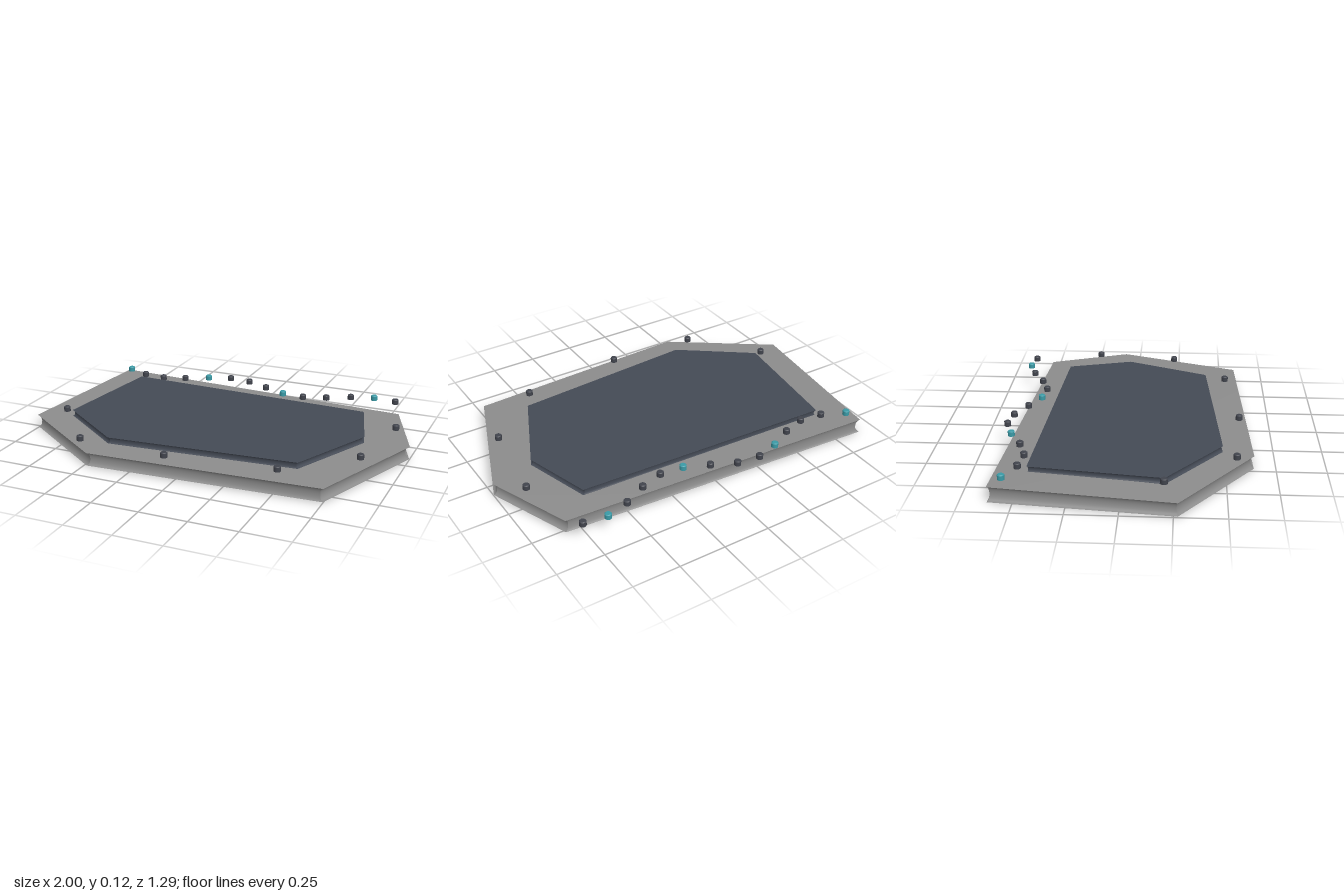
import * as THREE from 'three';

const paint = (name, color) => new THREE.MeshStandardMaterial({ name, color });

// Convex slab whose rim is hollowed inward by a smooth cove
function covedSlab(outline, y0, y1, cove, flare = 0) {
  const pos = [], idx = [], rows = 10, n = outline.length;
  const point = (i, t) => {
    const [x, z] = outline[i % n];
    const s = 1 - (cove / Math.hypot(x, z)) * Math.sqrt(Math.max(0, 1 - (2 * t - 1) ** 2));
    // the back left corner is slightly thicker than the rest
    const spread = i % n === 0 ? flare * (2 * t - 1) : 0;
    return [x * s, y0 + (y1 - y0) * t + spread, z * s];
  };
  // Rim: each side has its own vertices, so corners stay crisp
  for (let i = 0; i < n; i++) {
    const base = pos.length / 3;
    for (let r = 0; r <= rows; r++) {
      const t = (1 - Math.cos((Math.PI * r) / rows)) / 2;
      pos.push(...point(i, t), ...point(i + 1, t));
      if (r === rows) continue;
      const a = base + r * 2, b = a + 1, c = a + 2, d = a + 3;
      idx.push(a, c, d, a, d, b);
    }
  }
  // Flat top and bottom caps
  for (const t of [0, 1]) {
    const base = pos.length / 3;
    for (let i = 0; i < n; i++) pos.push(...point(i, t));
    for (let i = 1; i < n - 1; i++) {
      if (t) idx.push(base, base + i + 1, base + i);
      else idx.push(base, base + i, base + i + 1);
    }
  }
  const g = new THREE.BufferGeometry();
  g.setAttribute('position', new THREE.Float32BufferAttribute(pos, 3));
  g.setIndex(idx);
  g.computeVertexNormals();
  return g;
}

export function createModel() {
  const model = new THREE.Group();
  const stone = paint('stone grey', 0x8c8c8c);
  const slate = paint('slate blue', 0x444a55);
  const dark = paint('dark stud', 0x41444d);
  const teal = paint('teal stud', 0x3a9aa6);

  const add = (name, geometry, material) => {
    const mesh = new THREE.Mesh(geometry, material);
    mesh.name = name;
    model.add(mesh);
    return mesh;
  };

  // Base slab and raised panel
  const baseOutline = [[-0.9, -0.62], [0.83, -0.52], [1, -0.08], [0.75, 0.58], [-0.48, 0.64], [-1, 0.27]];
  const panelOutline = [[-0.73, -0.455], [0.665, -0.395], [0.77, -0.04], [0.565, 0.41], [-0.44, 0.485], [-0.815, 0.205]];
  add('baseSlab', covedSlab(baseOutline, 0.007, 0.075, 0.022, 0.005), stone);
  add('raisedPanel', covedSlab(panelOutline, 0.076, 0.108, 0.012, 0.001), slate);

  // Stud with a small chamfer at both ends
  const studGeometry = new THREE.CylinderGeometry(0.018, 0.018, 0.024, 16);
  const chamfer = new THREE.CylinderGeometry(0.014, 0.018, 0.004, 16);
  const addStud = (x, z, material) => {
    const stud = new THREE.Group();
    stud.name = 'stud';
    const body = new THREE.Mesh(studGeometry, material);
    body.name = 'studBody';
    const cap = new THREE.Mesh(chamfer, material);
    cap.name = 'studCap';
    cap.position.y = 0.014;
    stud.add(body, cap);
    stud.position.set(x, 0.11, z);
    model.add(stud);
  };

  // Wavy row of studs along the back, every fourth one teal
  for (let i = 0; i < 14; i++) {
    addStud(-0.85 + 0.1258 * i, -0.557 + 0.073 * Math.sin(0.9 * i), i % 4 === 0 ? teal : dark);
  }

  // Studs around the other edges
  for (const [x, z] of [[0.887, -0.228], [0.825, 0.222], [0.5, 0.52], [-0.073, 0.58], [-0.565, 0.55], [-0.85, 0.203]]) {
    addStud(x, z, dark);
  }
  return model;
}
